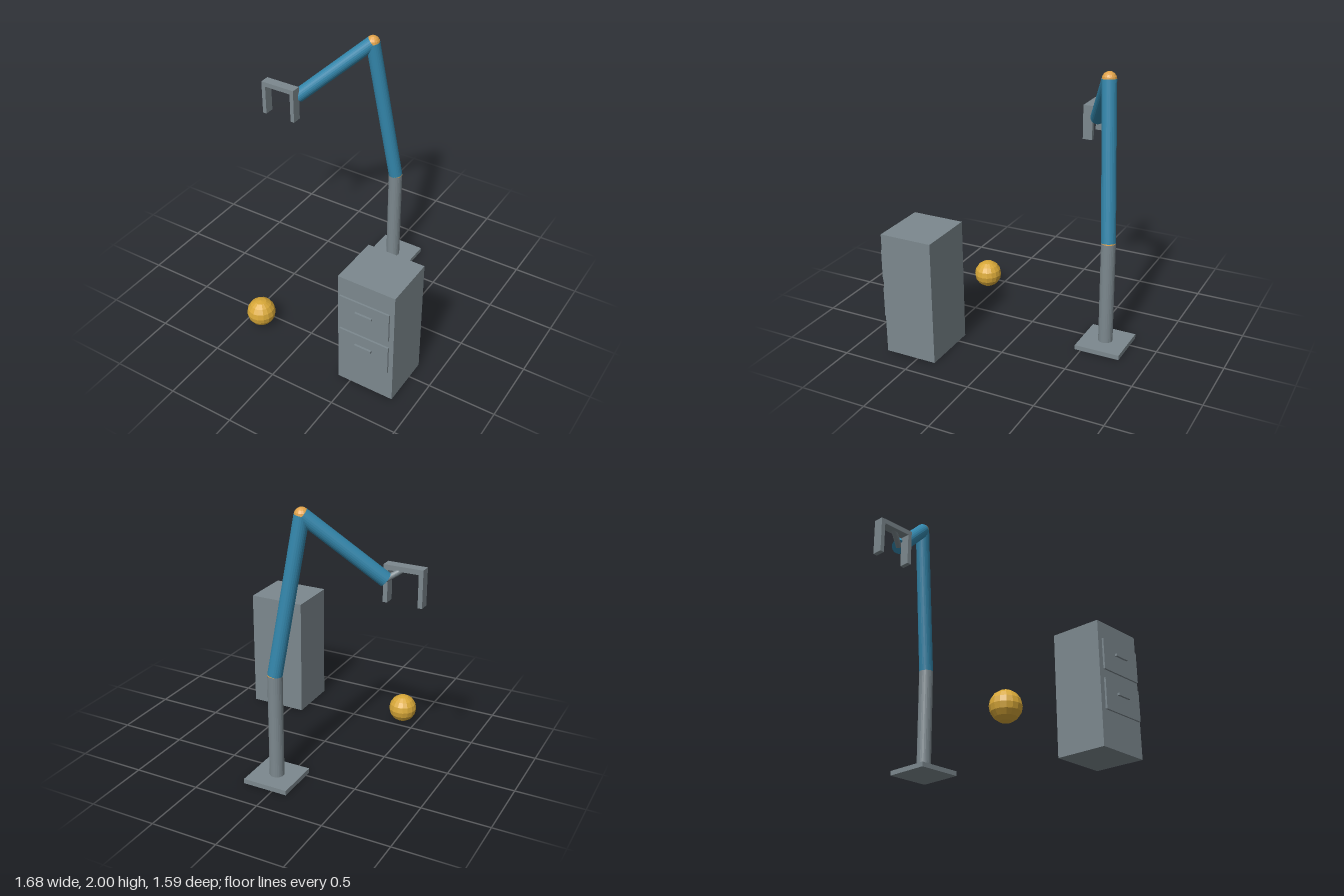
import * as THREE from 'three';

const mat = (name, color) => {
  const m = new THREE.MeshStandardMaterial({ color, flatShading: true });
  m.name = name;
  return m;
};

export function createModel() {
  const grey = mat('steel grey', 0x7c888e);
  const blue = mat('arm blue', 0x3386ab);
  const orange = mat('joint orange', 0xe0a24a);
  const gold = mat('ball gold', 0xd8a838);

  const model = new THREE.Group();
  model.name = 'robotArmScene';

  const group = (name) => {
    const g = new THREE.Group();
    g.name = name;
    model.add(g);
    return g;
  };
  const add = (parent, name, geometry, material) => {
    const m = new THREE.Mesh(geometry, material);
    m.name = name;
    parent.add(m);
    return m;
  };
  // Box given by its lower and upper corners
  const box = (parent, name, lo, hi, material) => {
    const size = hi.map((v, i) => v - lo[i]);
    const m = add(parent, name, new THREE.BoxGeometry(...size), material);
    m.position.set(...hi.map((v, i) => (v + lo[i]) / 2));
  };
  // Cylinder running between two points
  const rod = (parent, name, a, b, r, material) => {
    const dir = b.clone().sub(a);
    const m = add(parent, name, new THREE.CylinderGeometry(r, r, dir.length(), 24), material);
    m.position.copy(a).add(b).multiplyScalar(0.5);
    m.quaternion.setFromUnitVectors(new THREE.Vector3(0, 1, 0), dir.normalize());
  };
  const ball = (parent, name, p, r, material) => {
    add(parent, name, new THREE.SphereGeometry(r, 16, 8), material).position.copy(p);
  };

  // Arm: plate, post and two links bending at ball joints
  const arm = group('arm');
  const R = 0.053;
  const foot = new THREE.Vector3(0.057, 0.035, -0.624);
  const shoulder = new THREE.Vector3(0.057, 0.815, -0.624);
  const elbow = new THREE.Vector3(-0.11, 1.947, -0.527);
  const wrist = new THREE.Vector3(-0.585, 1.5, -0.253);
  const palm = new THREE.Vector3(-0.698, 1.578, -0.188);
  box(arm, 'basePlate', [-0.112, 0, -0.795], [0.228, 0.035, -0.455], grey);
  rod(arm, 'post', foot, shoulder, R, grey);
  ball(arm, 'shoulderJoint', shoulder, R, orange);
  rod(arm, 'upperArm', shoulder, elbow, R, blue);
  ball(arm, 'elbowJoint', elbow, R, orange);
  rod(arm, 'forearm', elbow, wrist, R, blue);
  rod(arm, 'wristLink', wrist, palm, 0.021, grey);

  // Gripper: crossbar with two fingers
  const gripper = group('gripper');
  box(gripper, 'crossbar', [-0.84, 1.558, -0.226], [-0.556, 1.594, -0.15], grey);
  for (const x of [-0.84, -0.588]) {
    box(gripper, 'finger', [x, 1.327, -0.226], [x + 0.032, 1.558, -0.15], grey);
  }

  // Cabinet with two drawers set just proud of the body
  const cabinet = group('cabinet');
  box(cabinet, 'cabinetBody', [0.402, 0, 0.36], [0.838, 0.922, 0.753], grey);
  for (const y of [0.263, 0.555]) {
    box(cabinet, 'drawerFront', [0.427, y, 0.765], [0.81, y + 0.228, 0.779], grey);
    box(cabinet, 'drawerHandle', [0.554, y + 0.128, 0.779], [0.684, y + 0.145, 0.795], grey);
  }

  // Ball on the floor
  ball(model, 'ball', new THREE.Vector3(-0.387, 0.109, 0.594), 0.107, gold);

  return model;
}
